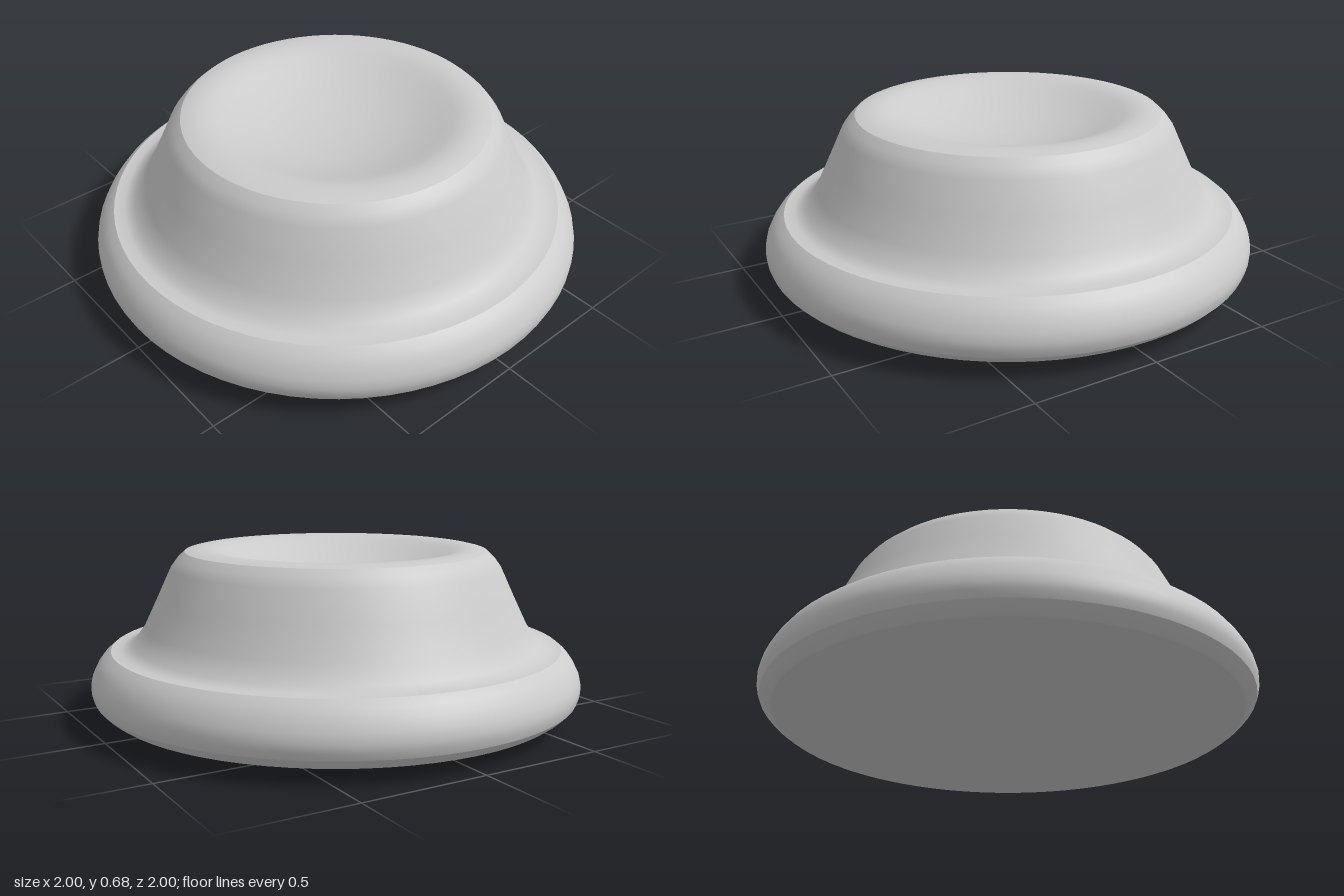
import * as THREE from 'three';

const SEGMENTS = 72;

// Smooth surface of revolution; each section ends at a sharp crease
function turned(name, profile, material) {
  const points = profile.map(([r, y]) => new THREE.Vector2(r, y));
  const mesh = new THREE.Mesh(new THREE.LatheGeometry(points, SEGMENTS), material);
  mesh.name = name;
  return mesh;
}

export function createModel() {
  const group = new THREE.Group();
  group.name = 'dishedKnob';
  const grey = new THREE.MeshStandardMaterial({ color: 0xcccccc });

  // Profiles run from the underside up the outside and into the dish
  const sections = {
    underside: [[0, 0], [0.4, 0.012], [0.8, 0.028], [0.94, 0.05]],
    lowerBevel: [[0.94, 0.05], [0.965, 0.068], [0.988, 0.092]],
    baseRim: [[0.988, 0.092], [0.998, 0.12], [1, 0.15], [0.992, 0.185],
      [0.972, 0.225], [0.948, 0.258], [0.918, 0.283]],
    neck: [[0.918, 0.283], [0.875, 0.284], [0.83, 0.302], [0.782, 0.37],
      [0.725, 0.49], [0.672, 0.605], [0.645, 0.642], [0.615, 0.67]],
    dish: [[0.615, 0.67], [0.585, 0.677], [0.55, 0.68], [0.51, 0.677], [0.47, 0.665],
      [0.42, 0.645], [0.35, 0.618], [0.27, 0.594], [0.18, 0.576], [0.09, 0.566], [0, 0.563]],
  };
  for (const [name, profile] of Object.entries(sections)) {
    group.add(turned(name, profile, grey));
  }
  return group;
}
